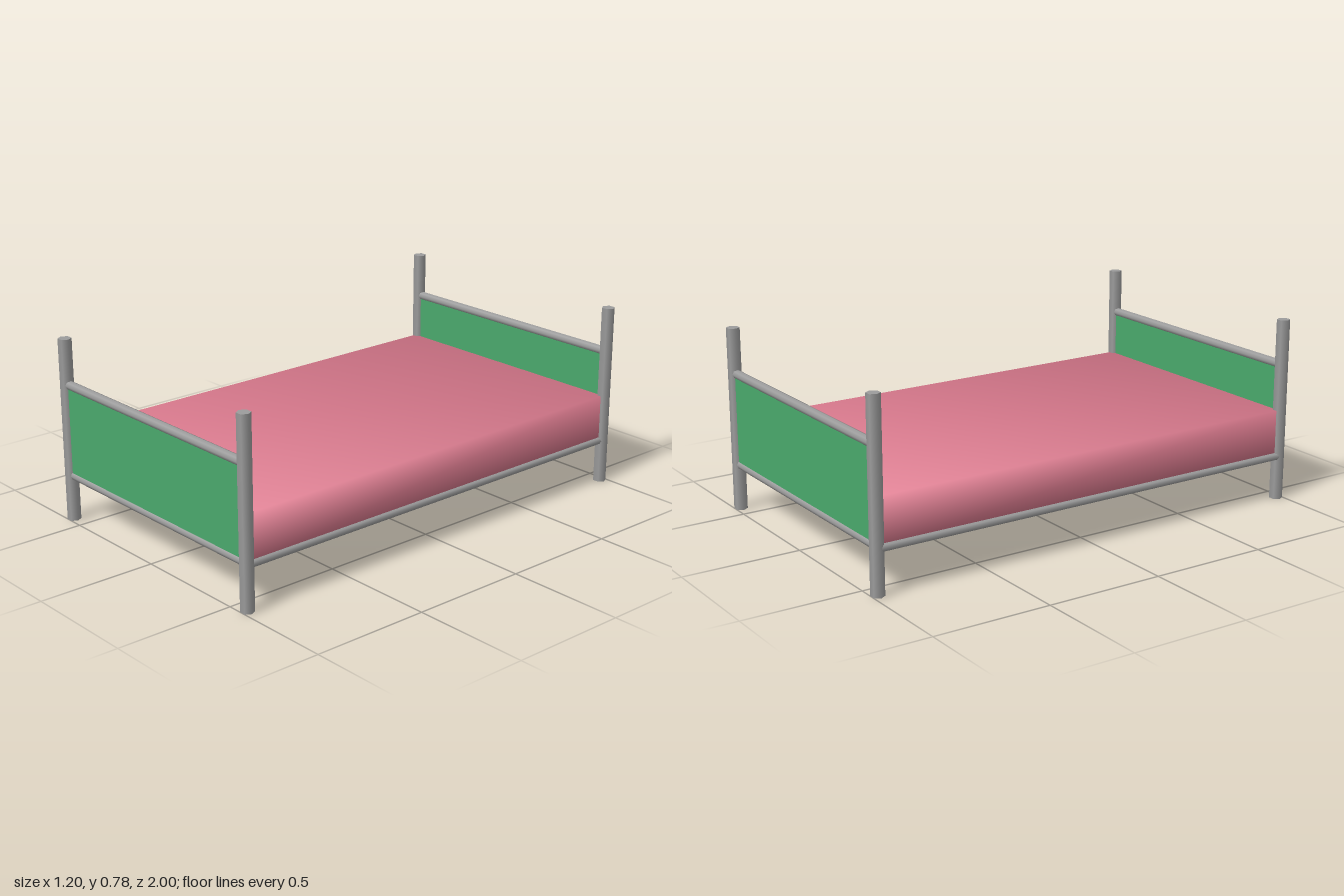
import * as THREE from 'three';
import { mergeVertices } from 'three/addons/utils/BufferGeometryUtils.js';

const X = 0.574, Z = 0.976; // post centres

export function createModel() {
  const bed = new THREE.Group();
  bed.name = 'bed';
  const mat = (name, color) => {
    const m = new THREE.MeshStandardMaterial({ color });
    m.name = name;
    return m;
  };
  const metal = mat('grey metal', 0x9c9c9c);
  const fabric = mat('pink fabric', 0xdd7c90);
  const board = mat('green board', 0x4aa96c);

  const add = (name, geometry, material, x, y, z) => {
    const mesh = new THREE.Mesh(geometry, material);
    mesh.name = name;
    mesh.position.set(x, y, z);
    bed.add(mesh);
  };

  // Six-sided posts with a corner pointing along x
  const post = new THREE.CylinderGeometry(0.028, 0.028, 0.78, 6).rotateY(Math.PI / 2);
  const endRail = (r) => new THREE.CylinderGeometry(r, r, X * 2, 8).rotateZ(Math.PI / 2);
  const sideRail = new THREE.CylinderGeometry(0.017, 0.017, Z * 2, 8).rotateX(Math.PI / 2);

  for (const [s, end] of [[1, 'foot'], [-1, 'head']]) {
    add(end + 'PostLeft', post, metal, X, 0.39, s * Z);
    add(end + 'PostRight', post, metal, -X, 0.39, s * Z);
    add(end + 'TopRail', endRail(0.019), metal, 0, 0.587, s * Z);
    add(end + 'BottomRail', endRail(0.018), metal, 0, 0.197, s * Z);
    add(end + 'Panel', new THREE.BoxGeometry(1.12, 0.39, 0.02), board, 0, 0.392, s * Z);
  }
  add('sideRailLeft', sideRail, metal, 0.574, 0.188, 0);
  add('sideRailRight', sideRail, metal, -0.58, 0.188, 0);

  // Mattress: a box with shared corners and softly spread normals
  let box = new THREE.BoxGeometry(1.16, 0.205, 1.93);
  box.deleteAttribute('normal');
  box.deleteAttribute('uv');
  box = mergeVertices(box);
  const p = box.attributes.position;
  const normals = [];
  for (let i = 0; i < p.count; i++) {
    const n = new THREE.Vector3(
      0.37 * Math.sign(p.getX(i)), 0.86 * Math.sign(p.getY(i)), 0.36 * Math.sign(p.getZ(i)));
    normals.push(...n.normalize().toArray());
  }
  box.setAttribute('normal', new THREE.Float32BufferAttribute(normals, 3));
  add('mattress', box, fabric, -0.002, 0.2875, 0);

  return bed;
}
